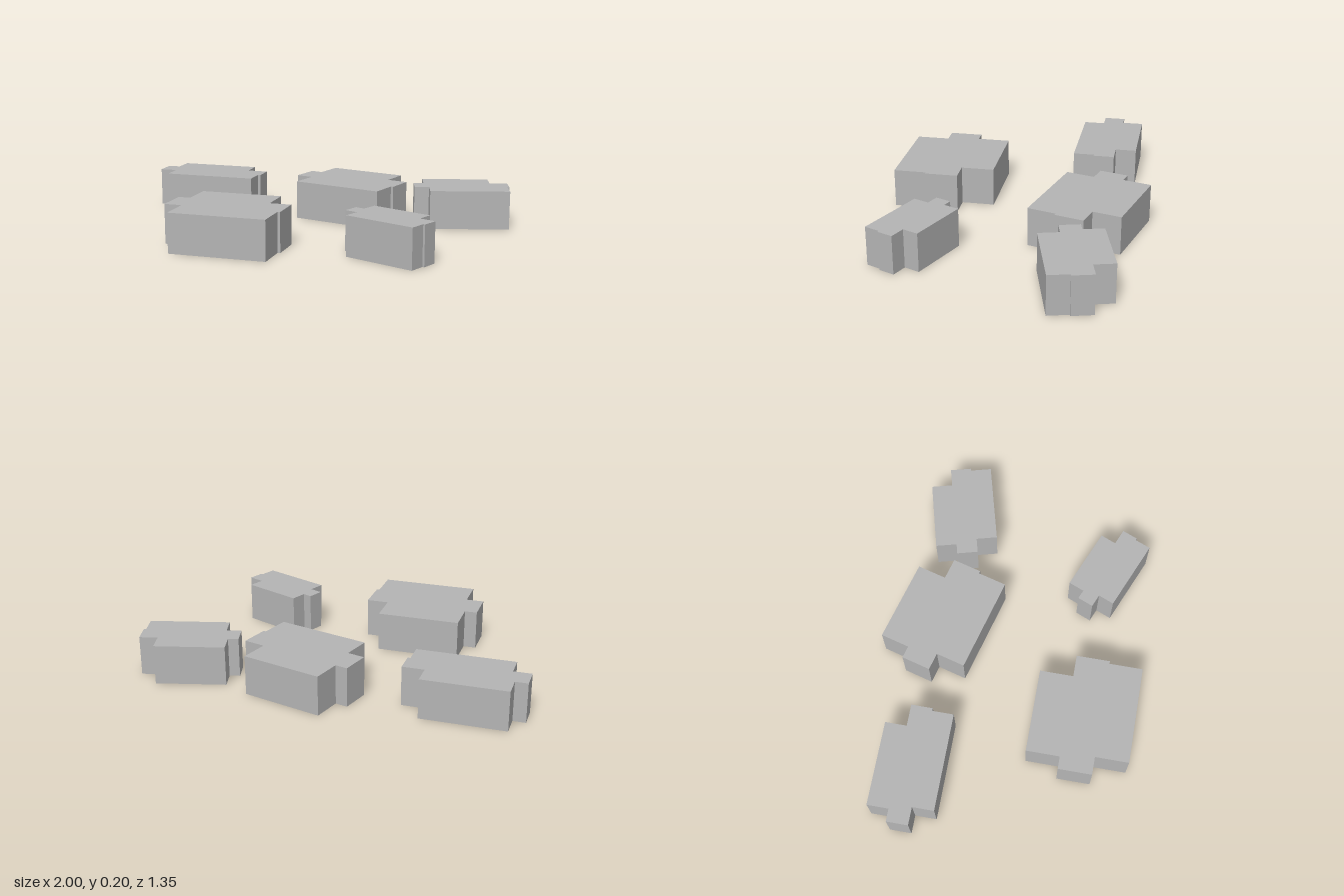
import * as THREE from 'three';

const HEIGHT = 0.203;

// Unit footprint shared by all blocks, as [x, z]: a main body with a stepped wing on each side
const FOOTPRINT = [
  [-0.394, -0.5], [0.314, -0.5], [0.314, -0.167], [0.5, -0.167],
  [0.5, 0.167], [0.477, 0.167], [0.477, 0.5], [-0.348, 0.5],
  [-0.348, 0.167], [-0.5, 0.167], [-0.5, -0.167], [-0.394, -0.167],
];

// Centre, width, depth and turn (degrees about y) of each block
const BLOCKS = [
  { name: 'frontRightBlock', x: -0.291, z: 0.413, w: 0.605, d: 0.516, turn: 0 },
  { name: 'backRightBlock', x: -0.697, z: -0.4, w: 0.605, d: 0.332, turn: 0 },
  { name: 'backMiddleBlock', x: 0.119, z: -0.401, w: 0.605, d: 0.456, turn: -15 },
  { name: 'backLeftBlock', x: 0.729, z: -0.401, w: 0.503, d: 0.326, turn: 15 },
  { name: 'frontLeftBlock', x: 0.528, z: 0.413, w: 0.462, d: 0.253, turn: -22.5 },
];

function blockGeometry(w, d) {
  const shape = new THREE.Shape(FOOTPRINT.map(([x, z]) => new THREE.Vector2(x * w, -z * d)));
  const geometry = new THREE.ExtrudeGeometry(shape, { depth: HEIGHT, bevelEnabled: false });
  return geometry.rotateX(-Math.PI / 2);
}

export function createModel() {
  const group = new THREE.Group();
  group.name = 'buildingBlocks';
  const grey = new THREE.MeshStandardMaterial({ color: 0xb4b4b4 });
  grey.name = 'grey';

  for (const { name, x, z, w, d, turn } of BLOCKS) {
    const block = new THREE.Mesh(blockGeometry(w, d), grey);
    block.name = name;
    block.position.set(x, 0, z);
    block.rotation.y = THREE.MathUtils.degToRad(turn);
    group.add(block);
  }
  return group;
}
